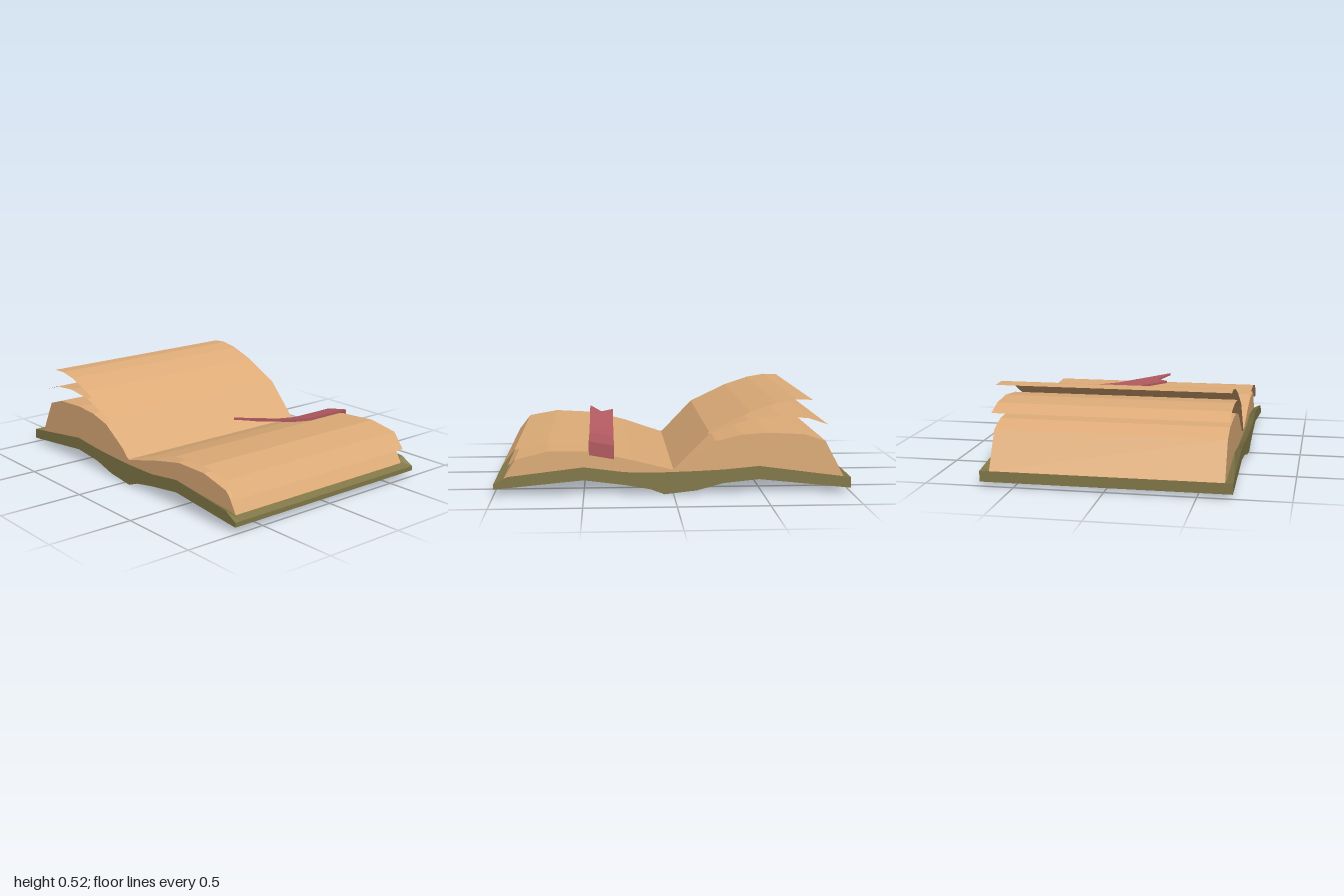
import * as THREE from 'three';

const mat = (name, color) => {
  const m = new THREE.MeshStandardMaterial({ color, flatShading: true, side: THREE.DoubleSide });
  m.name = name;
  return m;
};

// Joins equal-length rings of [x, y, z] points into a faceted surface
function loft(rings, closed) {
  const pos = [];
  const tri = (a, b, c) => pos.push(...a, ...b, ...c);
  const n = rings[0].length;
  for (let i = 0; i < rings.length - 1; i++) {
    for (let j = 0; j < (closed ? n : n - 1); j++) {
      const k = (j + 1) % n;
      const a = rings[i][j], b = rings[i + 1][j], c = rings[i + 1][k], d = rings[i][k];
      tri(a, b, c);
      tri(a, c, d);
    }
  }
  if (closed) {
    const s = rings[0], e = rings[rings.length - 1];
    for (let k = 1; k < n - 1; k++) {
      tri(s[0], s[k], s[k + 1]);
      tri(e[0], e[k + 1], e[k]);
    }
  }
  const g = new THREE.BufferGeometry();
  g.setAttribute('position', new THREE.Float32BufferAttribute(pos, 3));
  g.computeVertexNormals();
  return g;
}

export function createModel() {
  const book = new THREE.Group();
  book.name = 'openBook';
  const paper = mat('paper', 0xdeac78);
  const leather = mat('olive cover', 0x827848);
  const ribbon = mat('red ribbon', 0xb25a60);
  const add = (name, geometry, material) => {
    const mesh = new THREE.Mesh(geometry, material);
    mesh.name = name;
    book.add(mesh);
    return mesh;
  };

  // Cover: [x, bottom, top, drop of the inner face below the rim]
  const cover = [
    [-1, 0.025, 0.085, 0], [-0.95, 0.03, 0.092, 0.02], [-0.48, 0.08, 0.155, 0.035],
    [-0.28, 0.06, 0.137, 0.035], [-0.13, 0.02, 0.13, 0.03], [0.05, 0, 0.125, 0.03],
    [0.13, 0.03, 0.125, 0.03], [0.27, 0.055, 0.128, 0.03], [0.5, 0.085, 0.158, 0.035],
    [0.92, 0.045, 0.108, 0.02], [1, 0.038, 0.065, 0],
  ];
  add('cover', loft(cover.map(([x, b, t, d]) => [
    [x, b, 0.69], [x, t, 0.69], [x, t - d, 0.65],
    [x, t - d, -0.65], [x, t, -0.69], [x, b, -0.69],
  ]), true), leather);

  // Page blocks
  const blocks = {
    rightPageBlock: [[0, 0.1], [0, 0.135], [-0.24, 0.29], [-0.38, 0.325], [-0.53, 0.335],
      [-0.74, 0.325], [-0.86, 0.285], [-0.97, 0.075], [-0.5, 0.1]],
    leftPageBlock: [[0, 0.1], [0, 0.13], [0.27, 0.197], [0.47, 0.238], [0.7, 0.24],
      [0.88, 0.195], [0.95, 0.08], [0.5, 0.105]],
  };
  for (const [name, pts] of Object.entries(blocks)) {
    const shape = new THREE.Shape(pts.map(p => new THREE.Vector2(...p)));
    const g = new THREE.ExtrudeGeometry(shape, { depth: 1.29, bevelEnabled: false });
    add(name, g.translate(0, 0, -0.645), paper);
  }

  // Loose leaves fanning out of the gutter
  const leaves = {
    rightUpperLeaf: [[0, 0.135], [-0.2, 0.345], [-0.43, 0.455], [-0.58, 0.505], [-0.69, 0.524], [-0.78, 0.52]],
    rightLowerLeaf: [[-0.01, 0.14], [-0.2, 0.332], [-0.42, 0.412], [-0.6, 0.43], [-0.76, 0.417], [-0.87, 0.38]],
    leftUpperLeaf: [[0, 0.135], [0.25, 0.222], [0.45, 0.273], [0.7, 0.287], [0.88, 0.255], [0.95, 0.165]],
    leftLowerLeaf: [[0, 0.133], [0.27, 0.205], [0.47, 0.244], [0.7, 0.244], [0.88, 0.2], [0.92, 0.165]],
  };
  for (const [name, pts] of Object.entries(leaves)) {
    add(name, loft(pts.map(([x, y]) => [[x, y, 0.655], [x, y, -0.655]]), false), paper);
  }

  // Ribbon bookmark: lies on the leaf, lifts towards a notched tip
  const path = [[-0.66, 0.28], [-0.36, 0.28], [-0.22, 0.298], [0.13, 0.372]];
  const strip = new THREE.BoxGeometry(0.14, 0.014, 1, 2, 1, 3);
  const p = strip.attributes.position;
  for (let i = 0; i < p.count; i++) {
    const x = p.getX(i);
    const k = Math.round((p.getZ(i) + 0.5) * 3);
    const notch = k === 3 && Math.abs(x) < 0.01;
    p.setXYZ(i, x + 0.4, path[k][1] + p.getY(i) + x * 0.18 - (notch ? 0.016 : 0),
      notch ? 0.055 : path[k][0]);
  }
  strip.computeVertexNormals();
  add('bookmark', strip, ribbon);
  const flap = new THREE.BoxGeometry(0.14, 0.075, 0.012);
  const f = flap.attributes.position;
  for (let i = 0; i < f.count; i++) f.setY(i, f.getY(i) + f.getX(i) * 0.18);
  add('bookmarkFold', flap.translate(0.4, 0.247, -0.661), ribbon);

  return book;
}
